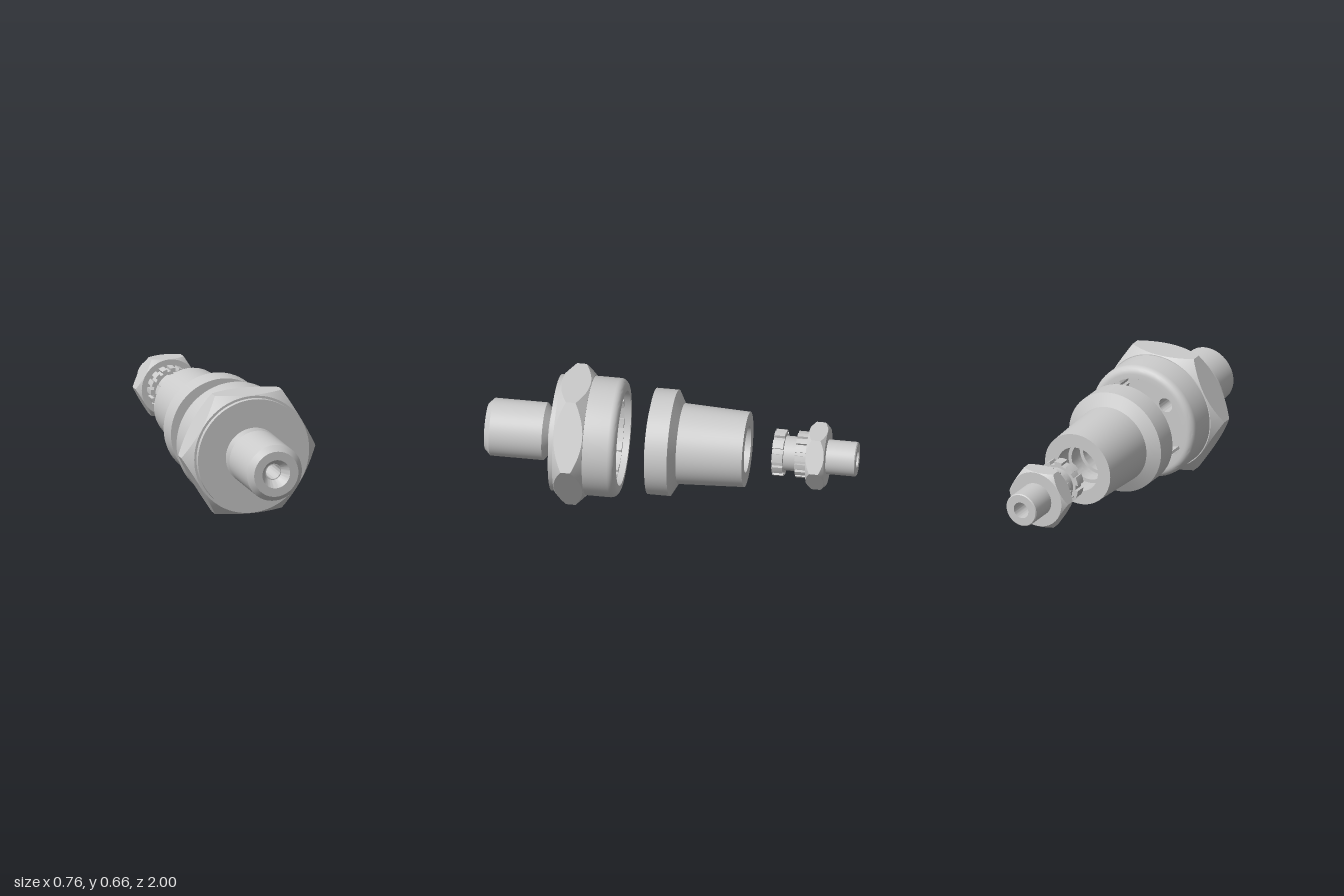
import * as THREE from 'three';
import { toCreasedNormals } from 'three/addons/utils/BufferGeometryUtils.js';

const AXIS_Y = 0.328;
const metal = new THREE.MeshStandardMaterial({ color: 0xcccccc });

function add(group, name, geometry) {
  const mesh = new THREE.Mesh(toCreasedNormals(geometry, 0.45), metal);
  mesh.name = name;
  group.add(mesh);
}

// Closed [radius, z] profile turned about the z axis: outside runs +z, bore runs back
function turned(profile, segments = 72) {
  const pts = [...profile, profile[0]].map(([r, z]) => new THREE.Vector2(r, z));
  return new THREE.LatheGeometry(pts, segments).rotateX(Math.PI / 2);
}

// Hexagon with corners on +-x, its corners trimmed by a 45 degree cone at both ends
function hexNut(apothem, bore, z0, z1, slope) {
  const n = 96, trim = apothem * 0.99, pos = [], idx = [];
  for (let i = 0; i <= n; i++) {
    const a = (i / n) * Math.PI * 2;
    const R = apothem / Math.cos((a % (Math.PI / 3)) - Math.PI / 6);
    const R2 = i % 16 === 0 ? apothem / Math.cos(Math.PI / 6) : R;
    const d = (R2 - trim) * slope;
    const ring = [[bore, z0], [trim, z0], [R2, z0 + d], [R2, z1 - d], [trim, z1], [bore, z1]];
    for (const [r, z] of ring) pos.push(r * Math.cos(a), r * Math.sin(a), z);
    if (i === n) break;
    for (let j = 0; j < 5; j++) {
      const p = i * 6 + j, q = p + 6;
      idx.push(p, q, q + 1, p, q + 1, p + 1);
    }
  }
  const g = new THREE.BufferGeometry();
  g.setAttribute('position', new THREE.Float32BufferAttribute(pos, 3));
  g.setIndex(idx);
  return g;
}

// Points of a toothed circle alternating between two radii
function toothed(rA, rB, teeth, phase) {
  const pts = [], step = (Math.PI * 2) / teeth;
  for (let i = 0; i < teeth; i++) {
    for (const [r, f] of [[rA, -0.3], [rA, 0], [rA, 0.3], [rB, 0.3], [rB, 0.5], [rB, 0.7]]) {
      const a = (i + f) * step + phase;
      pts.push(new THREE.Vector2(r * Math.cos(a), r * Math.sin(a)));
    }
  }
  return pts;
}

function plate(outline, hole, z0, z1) {
  const shape = new THREE.Shape(outline);
  shape.holes.push(new THREE.Path(hole));
  const g = new THREE.ExtrudeGeometry(shape, { depth: z1 - z0, bevelEnabled: false, curveSegments: 48 });
  return g.translate(0, 0, z0);
}

function circle(r) {
  return new THREE.Path().absarc(0, 0, r, 0, Math.PI * 2).getPoints(36).slice(0, -1);
}

// Hex cap with front stub and hollow rear
function makeCap() {
  const g = new THREE.Group();
  g.name = 'cap';
  const round = [];
  for (let i = 0; i <= 6; i++) {
    const a = (i / 6) * Math.PI / 2;
    round.push([0.28 + 0.04 * Math.sin(a), 0.305 - 0.04 * Math.cos(a)]);
  }
  add(g, 'capBody', turned([
    [0.255, 0.265], ...round, [0.32, 0.6], [0.312, 0.6], [0.312, 0.625],
    [0.155, 0.625], [0.12, 0.655], [0.155, 0.685], [0.155, 0.97], [0.125, 1],
    [0.078, 1], [0.045, 0.95], [0.04, 0.95], [0.04, 0.52], [0.255, 0.52],
  ]));
  add(g, 'capHexagon', hexNut(0.328, 0.3, 0.44, 0.6, 1));
  // Ribs along the wall of the cavity
  add(g, 'cavityRibs', plate(circle(0.262), toothed(0.25, 0.235, 12, 0), 0.3, 0.515));
  return g;
}

// Tapered sleeve with a wide collar and stepped bore
function makeSleeve() {
  const g = new THREE.Group();
  g.name = 'sleeve';
  add(g, 'sleeveBody', turned([
    [0.125, -0.405], [0.202, -0.405], [0.217, -0.05], [0.285, -0.012],
    [0.285, 0.108], [0.22, 0.108], [0.22, 0.12], [0.18, 0.12], [0.18, 0.02],
    [0.1, 0.02], [0.1, -0.18], [0.12, -0.18], [0.12, -0.23], [0.105, -0.23],
    [0.105, -0.29], [0.125, -0.29],
  ]));
  return g;
}

// Rear nipple with two toothed collars and a small hexagon
function makeNipple() {
  const g = new THREE.Group();
  g.name = 'nipple';
  add(g, 'nippleTube', turned([
    [0.045, -1], [0.088, -1], [0.093, -0.995], [0.093, -0.55], [0.045, -0.55],
  ], 48));
  add(g, 'nippleHexagon', hexNut(0.157, 0.085, -0.84, -0.74, 1));
  add(g, 'rearToothedCollar', plate(toothed(0.125, 0.11, 16, 0), circle(0.088), -0.74, -0.677));
  add(g, 'frontToothedCollar', plate(toothed(0.125, 0.108, 10, Math.PI / 10), circle(0.088), -0.612, -0.553));
  return g;
}

export function createModel() {
  const model = new THREE.Group();
  model.name = 'pipeCoupling';
  model.add(makeCap(), makeSleeve(), makeNipple());
  for (const part of model.children) part.position.y = AXIS_Y;
  return model;
}
